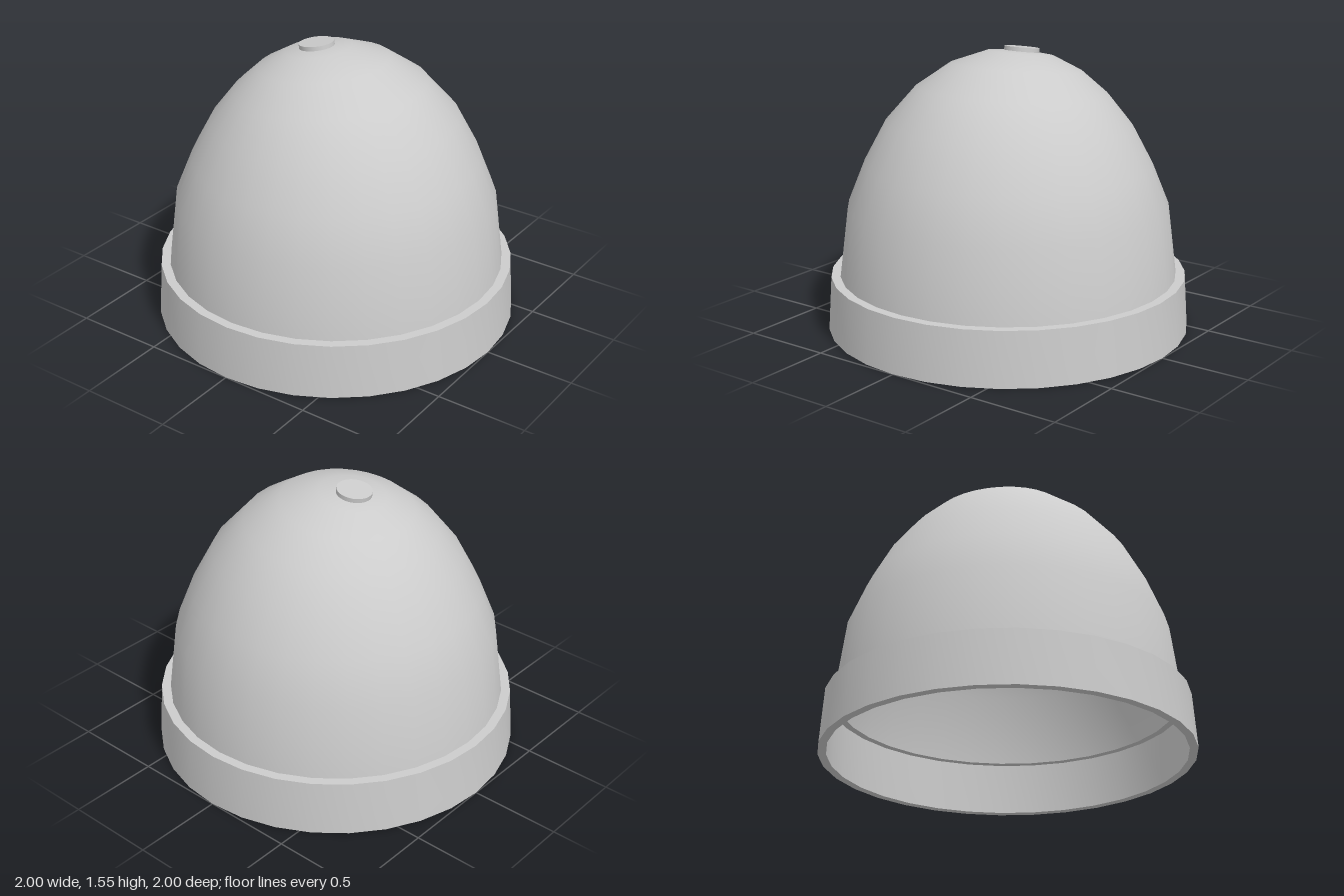
import * as THREE from 'three';
import { mergeVertices, toCreasedNormals } from 'three/addons/utils/BufferGeometryUtils.js';

const SEGMENTS = 32;

// Spin a profile, optionally move its vertices by a rule, keep hard edges sharp
function lathe(profile, rule) {
  let geo = new THREE.LatheGeometry(profile.map(([r, y]) => new THREE.Vector2(r, y)), SEGMENTS);
  geo.deleteAttribute('uv');
  geo.deleteAttribute('normal');
  const pos = geo.attributes.position;
  if (rule) {
    for (let i = 0; i < pos.count; i++) {
      const [x, y, z] = rule(pos.getX(i), pos.getY(i), pos.getZ(i));
      pos.setXYZ(i, x, y, z);
    }
  }
  geo = mergeVertices(geo, 1e-5);
  return toCreasedNormals(geo, 0.7);
}

// The upper rings lean back and tilt progressively toward the crown
function leanBack(x, y, z) {
  const t = Math.max(0, (y - 0.69) / 0.83);
  return [x, y + 0.16 * t ** 2.5 * z, z - 0.125 * t ** 4];
}

export function createModel() {
  const model = new THREE.Group();
  const material = new THREE.MeshStandardMaterial({ color: 0xcccccc });
  const add = (name, geometry) => {
    const mesh = new THREE.Mesh(geometry, material);
    mesh.name = name;
    model.add(mesh);
    return mesh;
  };

  // Thin hollow dome: inner skin from crown down, lower lip, outer skin back up
  const inner = [
    [0, 1.503], [0.176, 1.487], [0.351, 1.416], [0.512, 1.298],
    [0.658, 1.126], [0.772, 0.915], [0.865, 0.688], [0.915, 0.29],
  ];
  const outer = [
    [0.931, 0.29], [0.88, 0.69], [0.787, 0.92], [0.672, 1.135],
    [0.523, 1.31], [0.358, 1.432], [0.18, 1.502], [0, 1.518],
  ];
  add('dome', lathe([...inner, ...outer], leanBack));

  // Flared band around the base, with a thin inward ledge under the dome
  add('rimBand', lathe([
    [1, 0], [0.98, 0.3], [0.92, 0.3], [0.92, 0.29], [0.955, 0.29], [0.955, 0], [1, 0],
  ]));

  // Small disc on the crown
  const button = add('crownButton', new THREE.CylinderGeometry(0.096, 0.096, 0.03, SEGMENTS));
  button.position.set(0, 1.517, -0.126);
  button.rotation.x = -0.15;

  return model;
}
